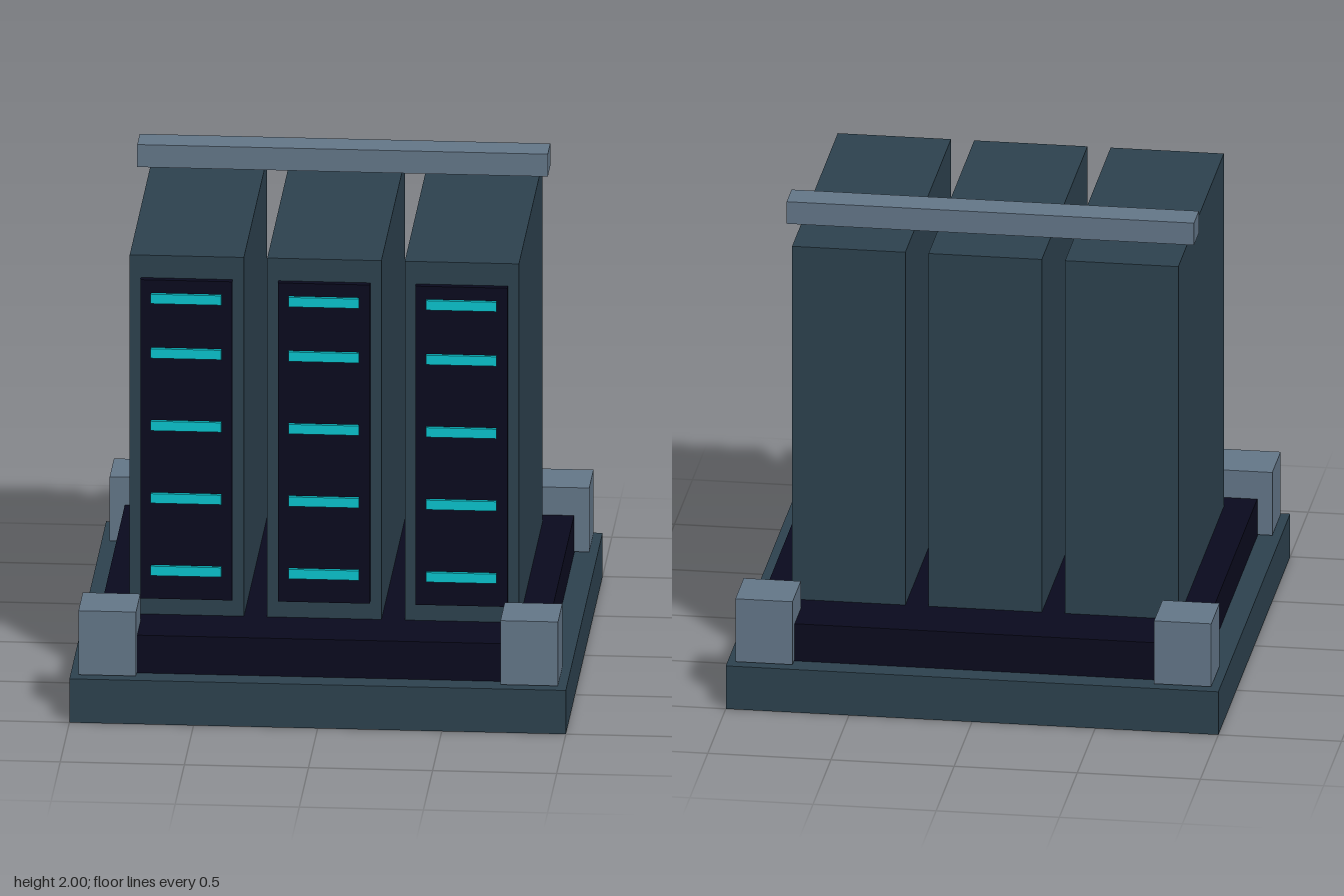
import * as THREE from 'three';

const material = (name, color) => {
  const m = new THREE.MeshStandardMaterial({ color });
  m.name = name;
  return m;
};

export function createModel() {
  const slate = material('slate', 0x2d424f);
  const steel = material('steel', 0x647789);
  const navy = material('dark navy', 0x0a0a1e);
  const cyan = material('cyan', 0x0ac4ce);

  const model = new THREE.Group();
  model.name = 'serverBlock';

  // Box given by its min and max on each axis
  const box = (parent, name, mat, [x0, x1], [y0, y1], [z0, z1]) => {
    const mesh = new THREE.Mesh(new THREE.BoxGeometry(x1 - x0, y1 - y0, z1 - z0), mat);
    mesh.position.set((x0 + x1) / 2, (y0 + y1) / 2, (z0 + z1) / 2);
    mesh.name = name;
    parent.add(mesh);
  };

  // Plinth and raised deck
  box(model, 'base', slate, [-1, 1], [0, 0.185], [-1, 1]);
  box(model, 'deck', navy, [-0.905, 0.905], [0.185, 0.345], [-0.905, 0.905]);

  // Corner blocks
  for (const x of [-0.85, 0.85]) {
    for (const z of [-0.85, 0.85]) {
      box(model, 'cornerBlock', steel, [x - 0.116, x + 0.116], [0.192, 0.463], [z - 0.116, z + 0.116]);
    }
  }

  // Three cabinets, each with a front panel and five light bars
  for (const x of [-0.554, 0, 0.554]) {
    const cabinet = new THREE.Group();
    cabinet.name = 'cabinet';
    cabinet.position.x = x;
    box(cabinet, 'cabinetBody', slate, [-0.23, 0.23], [0.345, 1.865], [-0.635, 0.635]);
    box(cabinet, 'frontPanel', navy, [-0.185, 0.185], [0.42, 1.77], [0.635, 0.663]);
    for (const y of [0.543, 0.85, 1.157, 1.464, 1.695]) {
      box(cabinet, 'lightBar', cyan, [-0.142, 0.142], [y - 0.02, y + 0.02], [0.66, 0.68]);
    }
    model.add(cabinet);
  }

  // Floating top rail toward the back
  box(model, 'topRail', steel, [-0.827, 0.827], [1.905, 2], [-0.492, -0.356]);

  return model;
}
